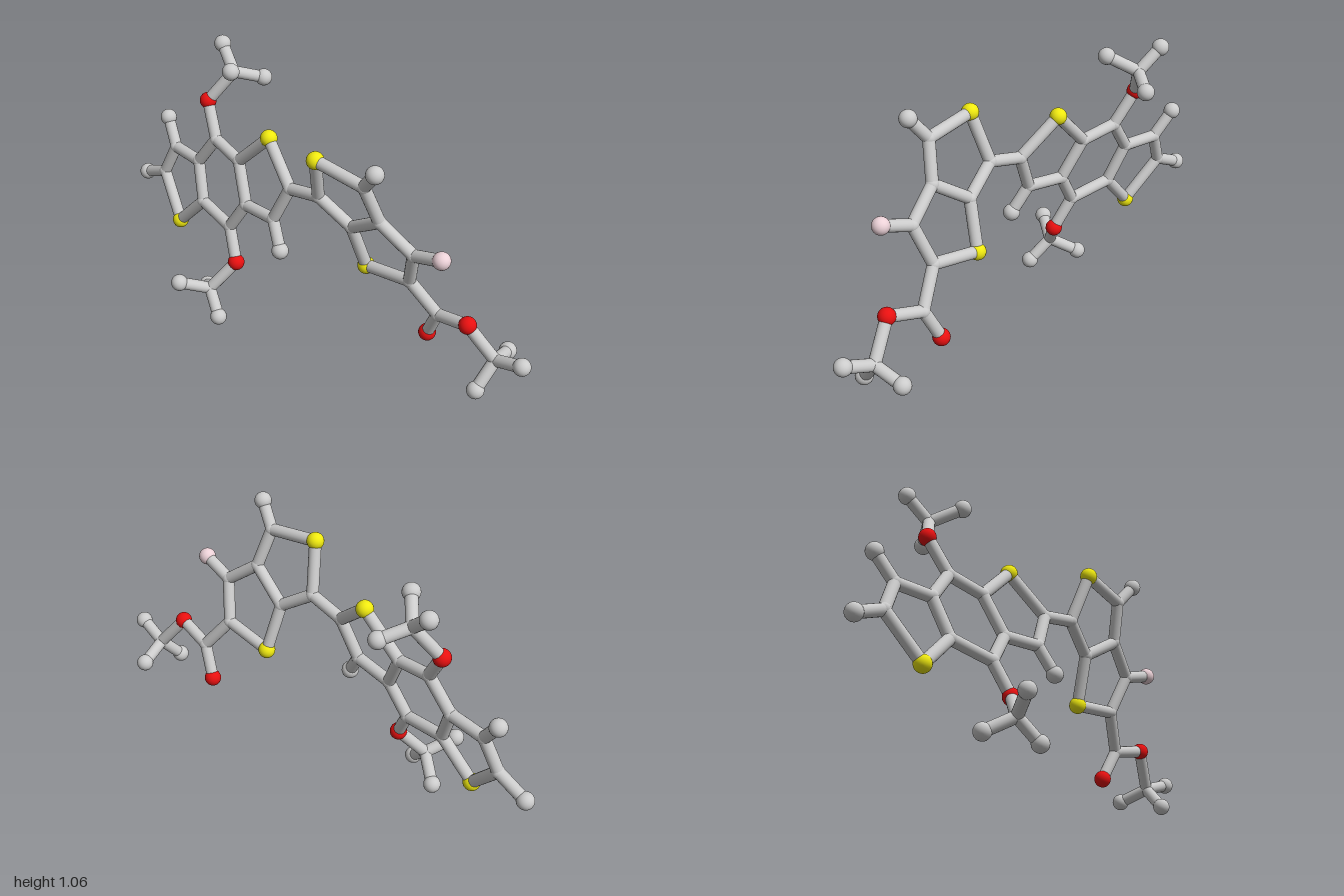
import * as THREE from 'three';

const BALL = 0.034, BOND = 0.024, JOINT = 0.0265;

const material = (color) => new THREE.MeshStandardMaterial({ color });
const grey = material(0xcccccc);
const colours = { sulfur: material(0xf0ea10), oxygen: material(0xe81010), fluorine: material(0xecd2d8) };

const ballGeo = new THREE.SphereGeometry(BALL, 24, 16);
const jointGeo = new THREE.SphereGeometry(JOINT, 20, 14);
const bondGeo = new THREE.CylinderGeometry(BOND, BOND, 1, 20, 1, true);

// Each fused ring system lies in one tilted plane: z follows from x and y
const leftPlane = (x, y) => 0.174 + 0.167 * x - 0.204 * y;
const rightPlane = (x, y) => -0.189 + 0.004 * x + 0.319 * y;

// Flat atoms: [x, y], placed on a plane
const leftAtoms = {
  sulfurA: [-0.70, 0.246], a1: [-0.84, 0.41], a2: [-0.78, 0.545], a3: [-0.618, 0.55], a4: [-0.56, 0.396],
  b1: [-0.522, 0.684], b2: [-0.366, 0.658], b3: [-0.29, 0.503], b4: [-0.372, 0.37],
  sulfurB: [-0.206, 0.818], c1: [-0.05, 0.68], c2: [-0.12, 0.522],
  endA1: [-0.966, 0.353], endA2: [-0.853, 0.647], endC2: [-0.056, 0.417],
  oxygenTop: [-0.60, 0.818], oxygenBottom: [-0.307, 0.242],
};
const rightAtoms = {
  d1: [0.104, 0.717], sulfurC: [0.142, 0.914], d2: [0.361, 0.888], d3: [0.398, 0.733], d4: [0.243, 0.626],
  sulfurD: [0.27, 0.433], e1: [0.484, 0.47], e2: [0.532, 0.632],
  endD2: [0.43, 0.979], fluorine: [0.664, 0.679],
};
// Out-of-plane side groups: [x, y, z]
const sideAtoms = {
  topMethyl: [-0.52, 0.947, -0.165],
  endTop1: [-0.61, 1.03, -0.198], endTop2: [-0.44, 1.008, -0.068], endTop3: [-0.446, 0.911, -0.26],
  bottomMethyl: [-0.38, 0.122, 0.158],
  endBottom1: [-0.452, 0.17, 0.26], endBottom2: [-0.473, 0.055, 0.083], endBottom3: [-0.297, 0.038, 0.197],
  esterCarbon: [0.586, 0.337, -0.085], oxygenDouble: [0.527, 0.207, -0.112], oxygenSingle: [0.737, 0.378, -0.06],
  esterMethyl: [0.842, 0.246, -0.102],
  endEster1: [0.965, 0.293, -0.083], endEster2: [0.822, 0.146, -0.017], endEster3: [0.822, 0.207, -0.222],
};

// Bond chains, each joining consecutive atoms
const chains = {
  leftRings: [
    'sulfurA a1 a2 a3 a4 sulfurA', 'a3 b1 b2 b3 b4 a4', 'b2 sulfurB c1 c2 b3',
    'a1 endA1', 'a2 endA2', 'c2 endC2',
  ],
  rightRings: [
    'd1 sulfurC d2 d3 d4 d1', 'd4 sulfurD e1 e2 d3', 'd2 endD2', 'e2 fluorine',
  ],
  ringLink: ['c1 d1'],
  topSideGroup: ['b1 oxygenTop topMethyl endTop1', 'endTop2 topMethyl endTop3'],
  bottomSideGroup: ['b4 oxygenBottom bottomMethyl endBottom1', 'endBottom2 bottomMethyl endBottom3'],
  esterSideGroup: [
    'e1 esterCarbon oxygenDouble', 'esterCarbon oxygenSingle esterMethyl endEster1',
    'endEster2 esterMethyl endEster3',
  ],
};

export function createModel() {
  const model = new THREE.Group();
  model.name = 'molecule';

  const points = {};
  for (const [key, [x, y]] of Object.entries(leftAtoms)) points[key] = new THREE.Vector3(x, y, leftPlane(x, y));
  for (const [key, [x, y]] of Object.entries(rightAtoms)) points[key] = new THREE.Vector3(x, y, rightPlane(x, y));
  for (const [key, p] of Object.entries(sideAtoms)) points[key] = new THREE.Vector3(...p);

  // Atoms: coloured balls, grey end balls, and small joints where bonds meet
  const atoms = new THREE.Group();
  atoms.name = 'atoms';
  for (const [key, p] of Object.entries(points)) {
    const element = Object.keys(colours).find((e) => key.startsWith(e));
    const isBall = element || key.startsWith('end');
    const atom = new THREE.Mesh(isBall ? ballGeo : jointGeo, element ? colours[element] : grey);
    atom.name = element ? element + 'Ball' : isBall ? 'endBall' : 'carbonJoint';
    atom.position.copy(p);
    atoms.add(atom);
  }
  model.add(atoms);

  // Bonds: straight rods along every chain
  const up = new THREE.Vector3(0, 1, 0);
  for (const [name, list] of Object.entries(chains)) {
    const group = new THREE.Group();
    group.name = name;
    for (const chain of list) {
      const keys = chain.split(' ');
      for (let i = 1; i < keys.length; i++) {
        const a = points[keys[i - 1]], b = points[keys[i]];
        const dir = b.clone().sub(a);
        const rod = new THREE.Mesh(bondGeo, grey);
        rod.name = 'bond';
        rod.scale.y = dir.length();
        rod.position.copy(a).add(b).multiplyScalar(0.5);
        rod.quaternion.setFromUnitVectors(up, dir.normalize());
        group.add(rod);
      }
    }
    model.add(group);
  }
  return model;
}
